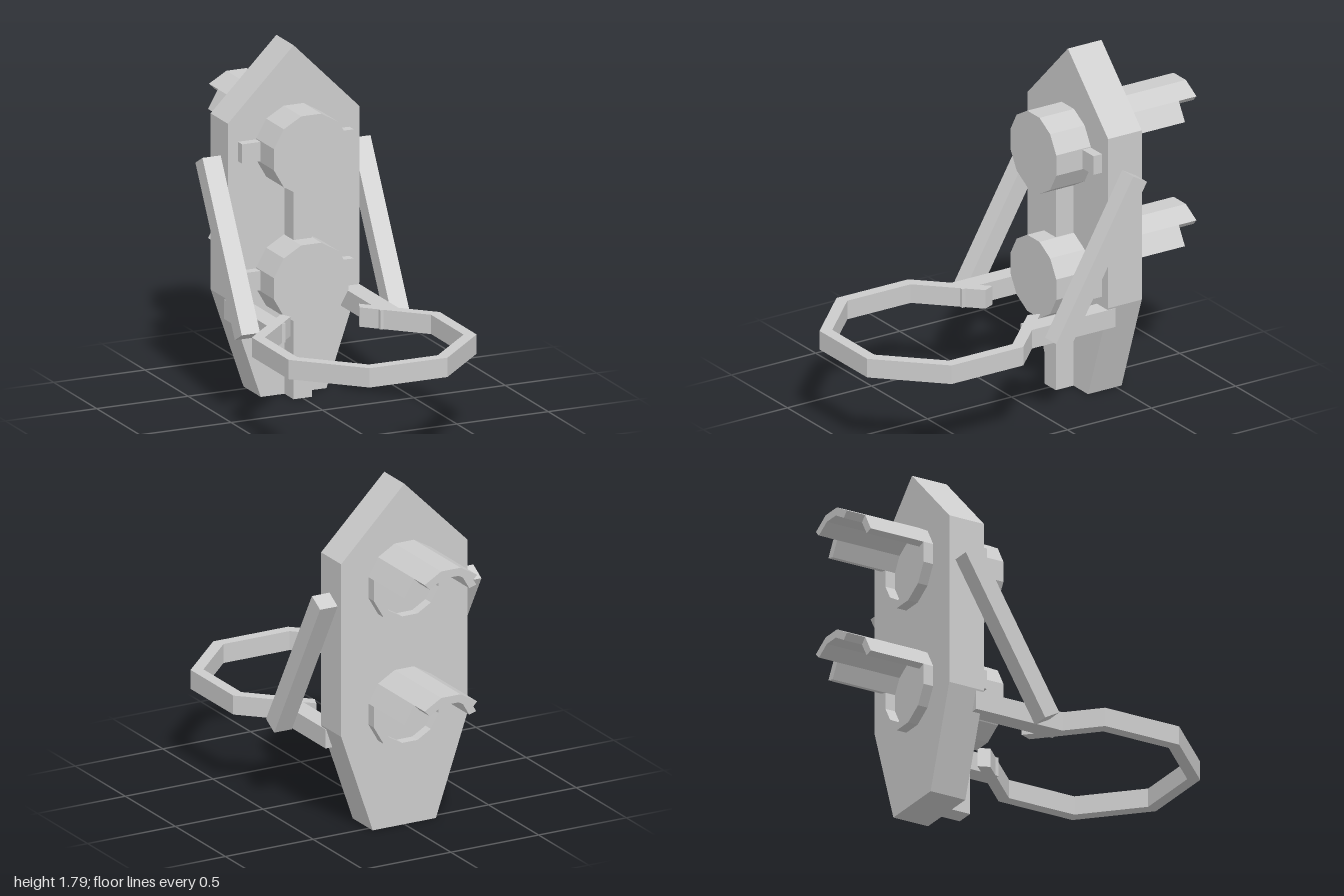
import * as THREE from 'three';

const material = new THREE.MeshStandardMaterial({ color: 0xcccccc, flatShading: true });
const BACK = -0.535, FRONT = -0.335; // faces of the backboard
const R = 0.212, R_IN = 0.17, SIDES = 12;

export function createModel() {
  const model = new THREE.Group();

  function add(name, geometry, parent = model) {
    const mesh = new THREE.Mesh(geometry, material);
    mesh.name = name;
    parent.add(mesh);
    return mesh;
  }

  // Box given by its limits on each axis
  function box(name, [x0, x1], [y0, y1], [z0, z1], parent) {
    const mesh = add(name, new THREE.BoxGeometry(x1 - x0, y1 - y0, z1 - z0), parent);
    mesh.position.set((x0 + x1) / 2, (y0 + y1) / 2, (z0 + z1) / 2);
    return mesh;
  }

  const shapeOf = (points) => new THREE.Shape(points.map(([x, y]) => new THREE.Vector2(x, y)));
  const extrude = (shape, depth) => new THREE.ExtrudeGeometry(shape, { depth, bevelEnabled: false });

  // Corners of a flat-topped polygon, from corner `first`, `count` edges long
  function arc(radius, sides, first, count) {
    return Array.from({ length: count + 1 }, (_, i) => {
      const a = ((first + i + 0.5) * 2 * Math.PI) / sides;
      return [radius * Math.cos(a), radius * Math.sin(a)];
    });
  }
  const band = (outer, inner, sides, first, count) =>
    shapeOf([...arc(outer, sides, first, count), ...arc(inner, sides, first, count).reverse()]);

  // Pointed backboard with tapered foot
  const board = shapeOf([[-0.18, 0], [0.18, 0], [0.36, 0.525], [0.36, 1.435], [0, 1.795], [-0.36, 1.435], [-0.36, 0.525]]);
  add('backboard', extrude(board, FRONT - BACK)).position.z = BACK;

  // Central spine on the front
  box('spine', [-0.05, 0.05], [0, 1.15], [FRONT, -0.23]);

  // Two lamps: drum in front, rim and stepped hood behind
  for (const [label, y] of [['upper', 1.285], ['lower', 0.618]]) {
    const lamp = new THREE.Group();
    lamp.name = label + 'Lamp';
    lamp.position.y = y;
    model.add(lamp);

    add('drum', extrude(shapeOf(arc(R, SIDES, 0, SIDES - 1)), 0.205), lamp).position.z = FRONT;

    const rim = shapeOf(arc(R, SIDES, 0, SIDES - 1));
    rim.holes.push(shapeOf(arc(R_IN, SIDES, 0, SIDES - 1)));
    add('rim', extrude(rim, 0.055), lamp).position.z = BACK - 0.055;

    add('hoodTop', extrude(band(R, R_IN, SIDES, 1, 3), 1 + BACK), lamp).position.z = -1;
    for (const first of [0, 4]) {
      add('hoodSide', extrude(band(R, R_IN, SIDES, first, 1), 0.895 + BACK), lamp).position.z = -0.895;
    }

    for (const s of [-1, 1]) {
      box('sideLug', s < 0 ? [-0.305, -0.19] : [0.19, 0.305], [-0.05, 0.05], [FRONT, -0.285], lamp);
    }
  }

  // Octagonal hoop lying flat, open towards the backboard
  const hoop = add('hoop', extrude(band(0.557, 0.4925, 8, -2, 7), 0.1));
  hoop.rotation.x = Math.PI / 2;
  hoop.position.set(0, 0.515, 0.485);

  // Arms carrying the hoop and slanted braces outside the board
  for (const s of [-1, 1]) {
    box('hoopArm', s < 0 ? [-0.36, -0.26] : [0.26, 0.36], [0.415, 0.515], [-0.38, 0.12]);
    const brace = add('brace', new THREE.BoxGeometry(0.1, 0.916, 0.094));
    brace.position.set(s * 0.41, 0.829, -0.23);
    brace.rotation.x = -Math.PI / 6;
  }

  return model;
}
